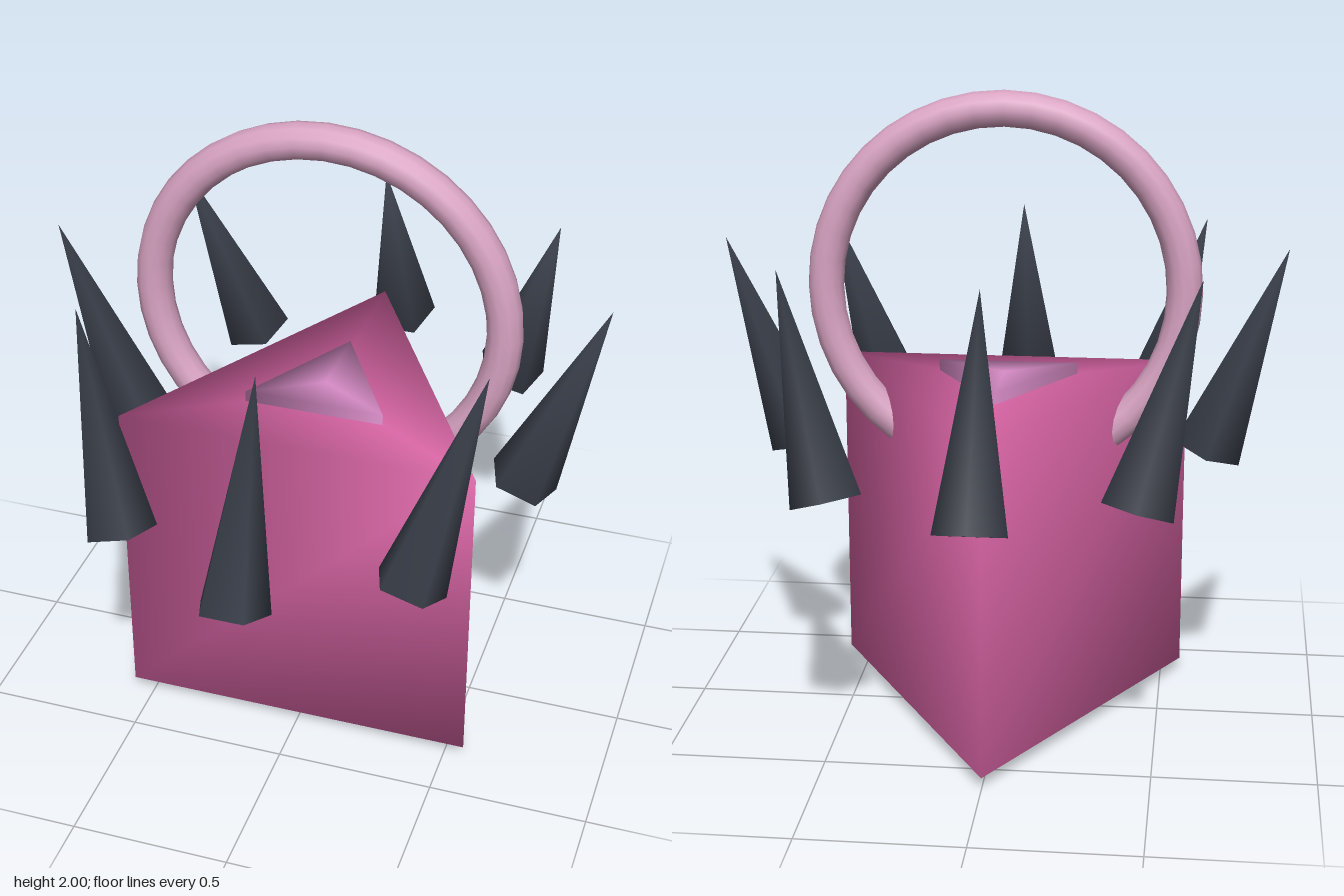
import * as THREE from 'three';
import { mergeVertices } from 'three/addons/utils/BufferGeometryUtils.js';

const mat = (name, color) => {
  const m = new THREE.MeshStandardMaterial({ color });
  m.name = name;
  return m;
};

// Weld all corners so the shading runs smoothly over every edge
function weld(geometry) {
  geometry.deleteAttribute('uv');
  geometry.deleteAttribute('normal');
  const g = mergeVertices(geometry, 1e-4);
  g.computeVertexNormals();
  return g;
}

// Upright triangular prism with one corner pointing to the back
function prism(radius, bottom, top) {
  const g = new THREE.CylinderGeometry(radius, radius, top - bottom, 3);
  g.rotateY(Math.PI);
  g.translate(0, (top + bottom) / 2, 0);
  return weld(g);
}

export function createModel() {
  const pink = mat('pink', 0xdd66a8);
  const lilac = mat('lilac', 0xdc8fcb);
  const palePink = mat('palePink', 0xd8a3c2);
  const charcoal = mat('charcoal', 0x393e49);

  const model = new THREE.Group();
  model.name = 'spikedPrism';
  const centre = new THREE.Group();
  centre.name = 'parts';
  centre.position.z = 0.007;
  model.add(centre);

  const add = (name, geometry, material, parent = centre) => {
    const mesh = new THREE.Mesh(geometry, material);
    mesh.name = name;
    parent.add(mesh);
    return mesh;
  };

  // Body, with a smaller core showing at the top and bottom
  add('body', prism(0.651, 0.04, 1.085), pink);
  add('core', prism(0.255, 0, 1.12), lilac);

  // Ring handle sunk into the sides of the body
  const handle = add('handle', new THREE.TorusGeometry(0.558, 0.056, 12, 40), palePink);
  handle.position.y = 1.386;

  // Eight five-sided spikes, leaning out at the sides and in at front and back
  const spikes = new THREE.Group();
  spikes.name = 'spikes';
  centre.add(spikes);
  const cone = new THREE.ConeGeometry(0.113, 0.688, 5);
  cone.rotateY(Math.PI);
  const spikeGeometry = weld(cone);
  const tilt = 0.35;
  for (let i = 0; i < 8; i++) {
    const a = (i * Math.PI) / 4;
    const spike = add('spike' + (i + 1), spikeGeometry, charcoal, spikes);
    spike.position.set(0.755 * Math.sin(a), 1.207, 0.76 * Math.cos(a));
    spike.rotation.set(-tilt * Math.cos(a), 0, -tilt * Math.sin(a));
  }

  return model;
}
